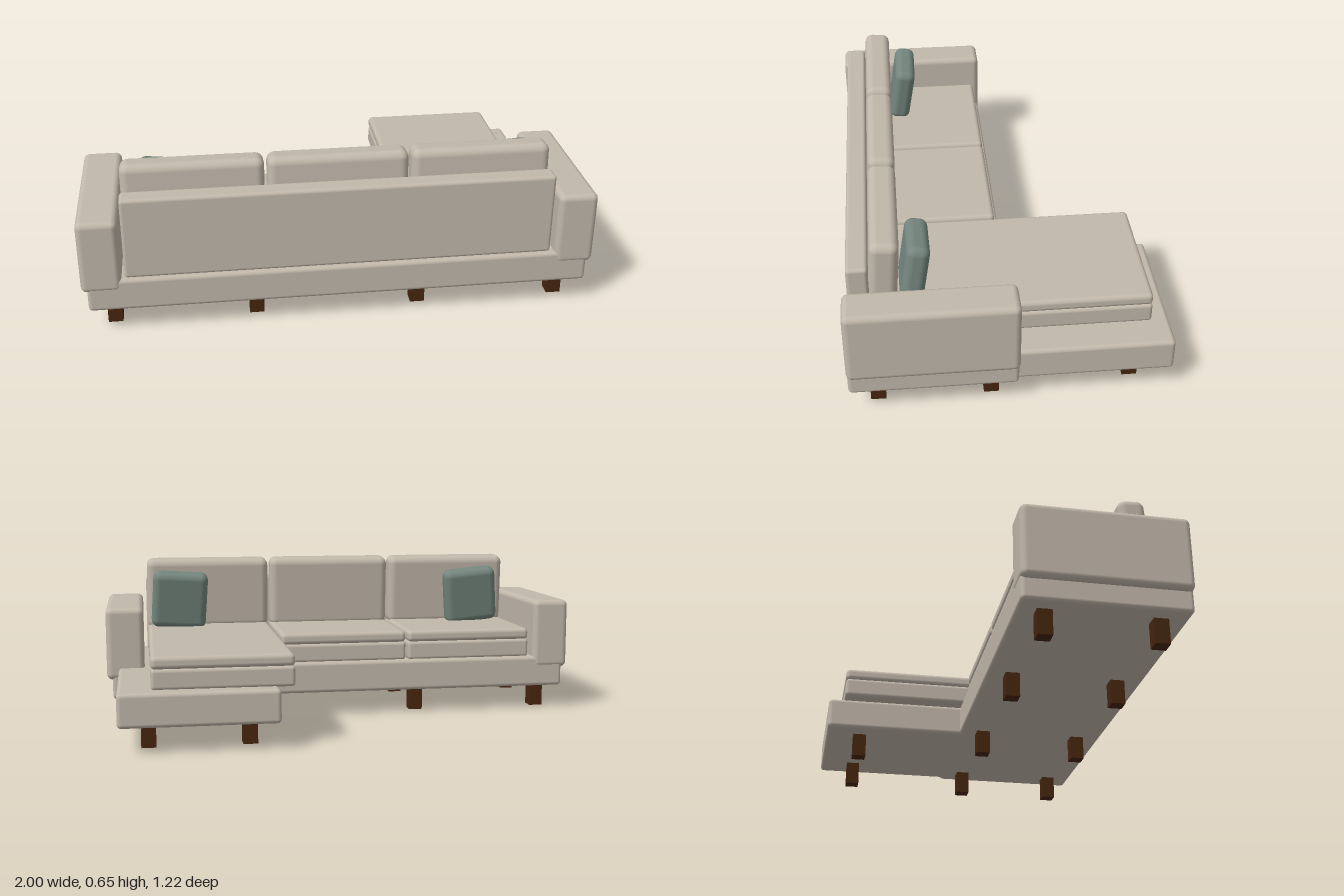
import * as THREE from 'three';
import { RoundedBoxGeometry } from 'three/addons/geometries/RoundedBoxGeometry.js';

const material = (name, color) => {
  const m = new THREE.MeshStandardMaterial({ color });
  m.name = name;
  return m;
};

export function createModel() {
  const group = new THREE.Group();
  const fabric = material('beige fabric', 0xc2b8ab);
  const accent = material('grey green fabric', 0x74867e);
  const wood = material('dark wood', 0x46250f);

  // Rounded box given by its min and max on each axis
  const softBox = (name, mat, [x0, x1], [y0, y1], [z0, z1], radius) => {
    const geometry = new RoundedBoxGeometry(x1 - x0, y1 - y0, z1 - z0, 4, radius);
    const mesh = new THREE.Mesh(geometry, mat);
    mesh.name = name;
    mesh.position.set((x0 + x1) / 2, (y0 + y1) / 2, (z0 + z1) / 2);
    group.add(mesh);
    return mesh;
  };

  // Base platform and chaise platform
  softBox('base', fabric, [-0.977, 0.977], [0.1, 0.232], [-0.025, 0.607], 0.016);
  softBox('chaiseBase', fabric, [0.342, 0.952], [0.1, 0.231], [-0.612, 0.3], 0.016);

  // Arms
  for (const side of [-1, 1]) {
    const xs = side < 0 ? [-1, -0.845] : [0.845, 1];
    softBox(side < 0 ? 'rightArm' : 'leftArm', fabric, xs, [0.182, 0.48], [-0.028, 0.61], 0.024);
  }

  // Backrest panel
  softBox('backrest', fabric, [-0.833, 0.83], [0.228, 0.56], [0.51, 0.59], 0.014);

  // Three seats, the last one long; each seat cushion has two layers
  [-0.557, -0.002, 0.553].forEach((x, i) => {
    const xs = [x - 0.272, x + 0.272];
    const zs = [i === 2 ? -0.545 : 0.0, 0.505];
    softBox('seatCushionLower', fabric, xs, [0.228, 0.308], zs, 0.014);
    softBox('seatCushionUpper', fabric, xs, [0.306, 0.355], zs, 0.018);

    const back = softBox('backCushion', fabric, xs, [0.338, 0.652], [0.403, 0.511], 0.032);
    back.rotation.x = -0.07;
  });

  // Throw pillows leaning in the corners
  const pillows = [
    ['rightPillow', -0.654, -0.1],
    ['leftPillow', 0.684, 0.06],
  ];
  for (const [name, x, roll] of pillows) {
    const pillow = softBox(name, accent, [x - 0.12, x + 0.12], [0.35, 0.6], [0.298, 0.386], 0.032);
    pillow.rotation.set(-0.16, 0, roll);
  }

  // Square legs: two rows of four and a pair under the chaise
  const legSpots = [[0.45, -0.465], [0.837, -0.465]];
  for (const z of [0.5, 0.073]) {
    for (const x of [-0.885, -0.33, 0.315, 0.88]) legSpots.push([x, z]);
  }
  const legGeometry = new THREE.BoxGeometry(0.057, 0.11, 0.057);
  for (const [x, z] of legSpots) {
    const leg = new THREE.Mesh(legGeometry, wood);
    leg.name = 'leg';
    leg.position.set(x, 0.055, z);
    group.add(leg);
  }

  return group;
}
